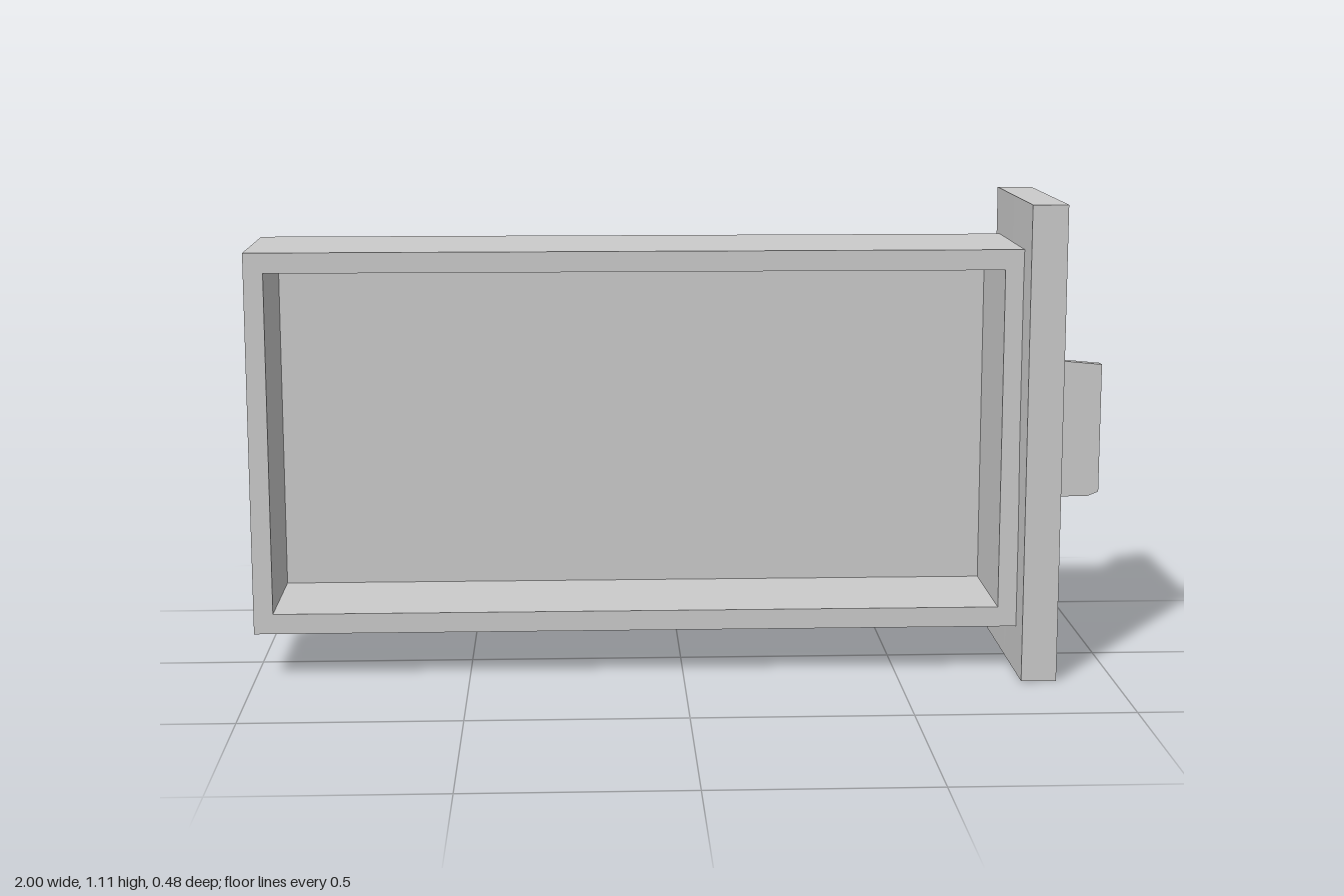
import * as THREE from 'three';

const material = new THREE.MeshStandardMaterial({ color: 0xcccccc, flatShading: true });

function addPart(group, name, geometry, x = 0, y = 0, z = 0) {
  const mesh = new THREE.Mesh(geometry, material);
  mesh.name = name;
  mesh.position.set(x, y, z);
  group.add(mesh);
  return mesh;
}

function rectangle(PathType, x0, x1, y0, y1) {
  return new PathType([[x0, y0], [x1, y0], [x1, y1], [x0, y1]].map(([x, y]) => new THREE.Vector2(x, y)));
}

export function createModel() {
  const group = new THREE.Group();
  group.name = 'drawer';

  // Four drawer walls, open towards the front
  const floorZ = -0.15, backZ = -0.2, frontZ = 0.155;
  const outline = rectangle(THREE.Shape, -1, 0.785, 0.11, 1);
  outline.holes.push(rectangle(THREE.Path, -0.955, 0.74, 0.157, 0.953));
  addPart(group, 'drawerWalls',
    new THREE.ExtrudeGeometry(outline, { depth: frontZ - floorZ, bevelEnabled: false }), 0, 0, floorZ);

  // Drawer floor, closing the back
  addPart(group, 'drawerFloor', new THREE.BoxGeometry(1.785, 0.89, floorZ - backZ),
    -0.1075, 0.555, (floorZ + backZ) / 2);

  // Face panel, very slightly domed on both large sides
  const panel = new THREE.BoxGeometry(0.082, 1.11, 0.48, 1, 2, 2);
  const p = panel.attributes.position;
  for (let i = 0; i < p.count; i++) {
    if (Math.abs(p.getY(i)) < 0.01 && Math.abs(p.getZ(i)) < 0.01) {
      p.setX(i, p.getX(i) + Math.sign(p.getX(i)) * 0.005);
    }
  }
  panel.computeVertexNormals();
  addPart(group, 'facePanel', panel, 0.825, 0.555, 0);

  // Thin pull tab, narrowing towards its tip
  const tab = new THREE.Shape([[0.86, 0.39], [0.975, 0.392], [1, 0.402], [1, 0.71], [0.86, 0.723]]
    .map(([x, y]) => new THREE.Vector2(x, y)));
  addPart(group, 'pullTab', new THREE.ExtrudeGeometry(tab, { depth: 0.025, bevelEnabled: false }), 0, 0, -0.0125);

  return group;
}
